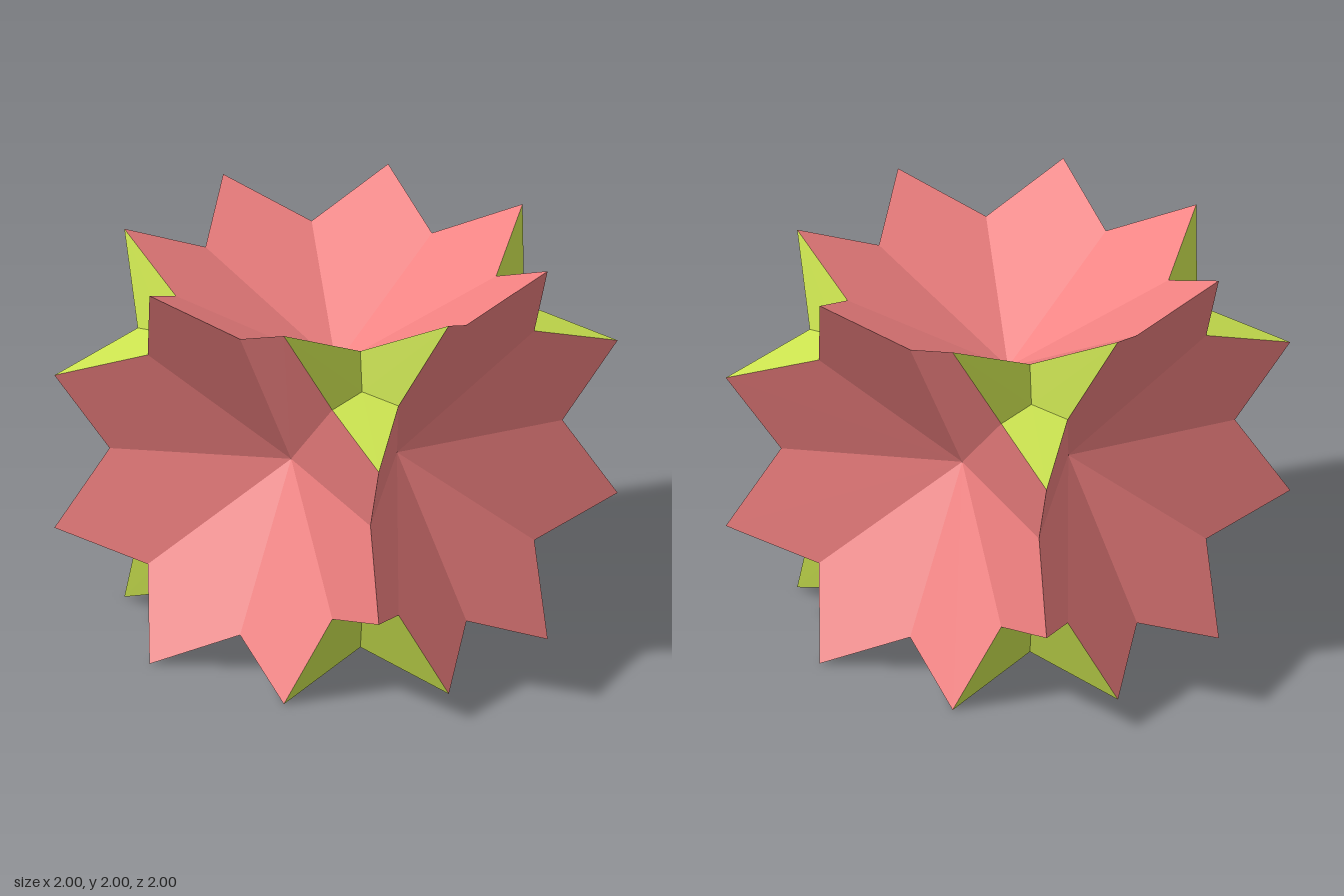
import * as THREE from 'three';

const TIP = Math.SQRT2 - 1;      // short coordinate of every spike tip
const NOTCH = 0.804;             // radius and height of the notches between tips
const BOWL = 0.376;              // height of each bowl's centre
const SIDE = NOTCH / Math.SQRT2;
const PIT = 0.608;               // coordinate of each corner pit's centre

// Flat four-sided facets, each split along the line from hub to tip
function kites(list) {
  const points = [];
  for (const [hub, a, tip, b] of list) points.push(...hub, ...a, ...tip, ...hub, ...tip, ...b);
  const geometry = new THREE.BufferGeometry();
  geometry.setAttribute('position', new THREE.Float32BufferAttribute(points, 3));
  geometry.computeVertexNormals();
  return geometry;
}

// Eight-pointed bowl facing +z
function bowlGeometry() {
  const step = Math.PI / 4;
  const tipRadius = Math.hypot(1, TIP);
  const at = (angle, r, z) => [r * Math.cos(angle), r * Math.sin(angle), z];
  const list = [];
  for (let i = 0; i < 8; i++) {
    list.push([
      [0, 0, BOWL],
      at(i * step, NOTCH, NOTCH),
      at((i + 0.5) * step, tipRadius, 1),
      at((i + 1) * step, NOTCH, NOTCH),
    ]);
  }
  return kites(list);
}

// Three-pointed pit facing (1, 1, 1)
function cornerGeometry() {
  const turn = (p, n) => p.map((_, i) => p[(i - n + 3) % 3]);
  const list = [];
  for (let n = 0; n < 3; n++) {
    list.push([
      [PIT, PIT, PIT],
      turn([NOTCH, SIDE, SIDE], n),
      turn([1, 1, TIP], n),
      turn([SIDE, NOTCH, SIDE], n),
    ]);
  }
  return kites(list);
}

export function createModel() {
  const model = new THREE.Group();
  model.name = 'starPolyhedron';
  const red = new THREE.MeshStandardMaterial({ color: 0xf08080, flatShading: true });
  const lime = new THREE.MeshStandardMaterial({ color: 0xcbe34f, flatShading: true });
  const q = Math.PI / 2;

  const add = (name, geometry, material, rx, ry) => {
    const mesh = new THREE.Mesh(geometry, material);
    mesh.name = name;
    mesh.rotation.set(rx, ry, 0);
    mesh.position.y = 1;
    model.add(mesh);
  };

  // Six star bowls
  const bowl = bowlGeometry();
  ['front', 'left', 'back', 'right'].forEach((side, i) => add(side + 'StarBowl', bowl, red, 0, i * q));
  add('topStarBowl', bowl, red, -q, 0);
  add('bottomStarBowl', bowl, red, q, 0);

  // Eight corner pits
  const corner = cornerGeometry();
  for (let i = 0; i < 4; i++) {
    add('upperCornerPit' + (i + 1), corner, lime, 0, i * q);
    add('lowerCornerPit' + (i + 1), corner, lime, Math.PI, i * q);
  }
  return model;
}
